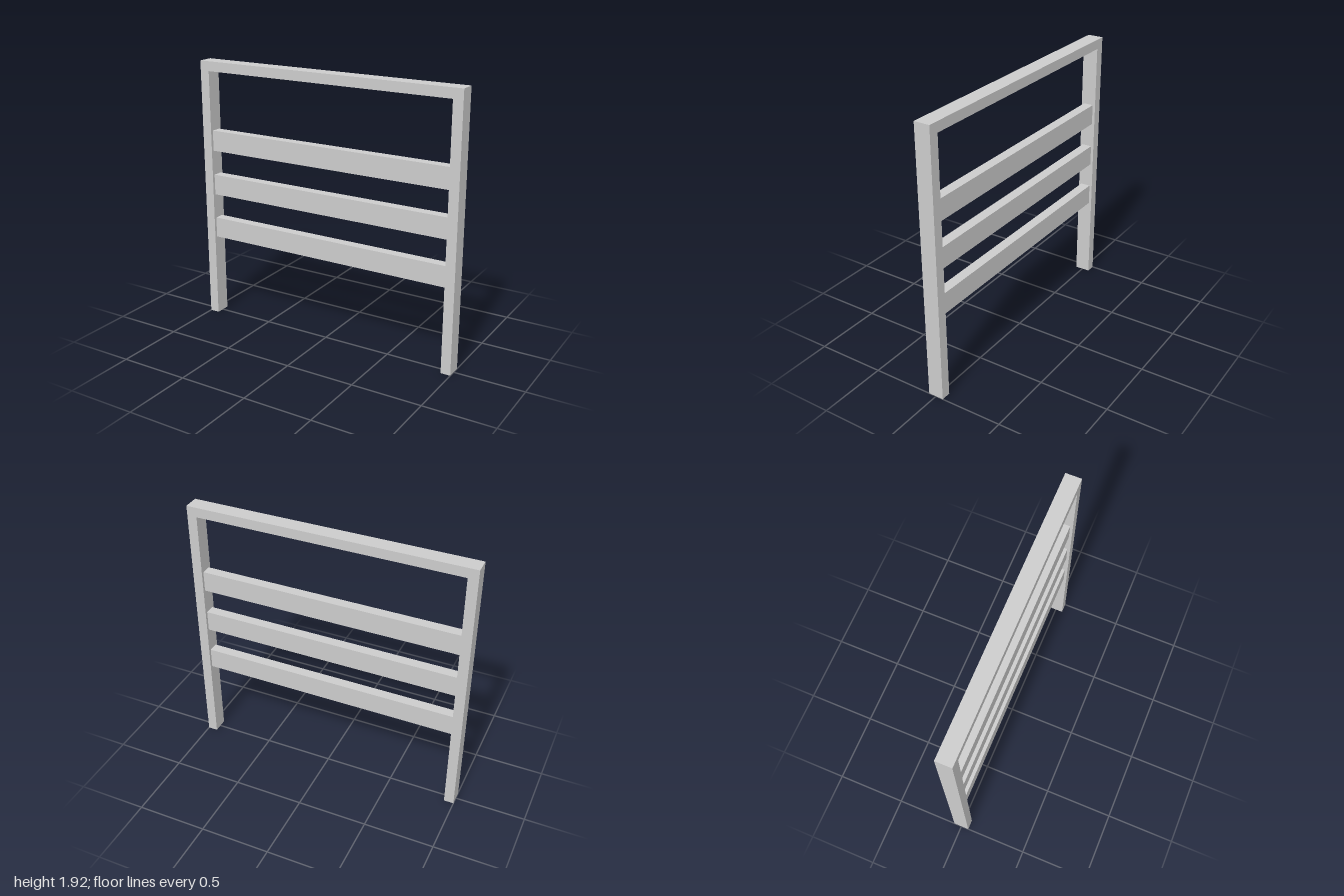
import * as THREE from 'three';

const HEIGHT = 1.925, HALF = 1, BAR = 0.07, DEPTH = 0.112;

export function createModel() {
  const group = new THREE.Group();
  const material = new THREE.MeshStandardMaterial({ color: 0xcccccc, flatShading: true });

  // Upside-down U frame: two posts joined by a top rail
  const inner = HALF - BAR;
  const outline = new THREE.Shape([
    [-HALF, 0], [-inner, 0], [-inner, HEIGHT - BAR], [inner, HEIGHT - BAR],
    [inner, 0], [HALF, 0], [HALF, HEIGHT], [-HALF, HEIGHT],
  ].map(([x, y]) => new THREE.Vector2(x, y)));
  const frameGeometry = new THREE.ExtrudeGeometry(outline, { depth: DEPTH, bevelEnabled: false });
  frameGeometry.translate(0, 0, -DEPTH / 2);
  const frame = new THREE.Mesh(frameGeometry, material);
  frame.name = 'frame';
  group.add(frame);

  // Three evenly spaced slats, thinner than the posts
  const slatGeometry = new THREE.BoxGeometry(inner * 2, 0.15, 0.072);
  ['lowerSlat', 'middleSlat', 'upperSlat'].forEach((name, i) => {
    const slat = new THREE.Mesh(slatGeometry, material);
    slat.name = name;
    slat.position.y = 0.686 + i * 0.331;
    group.add(slat);
  });

  return group;
}
